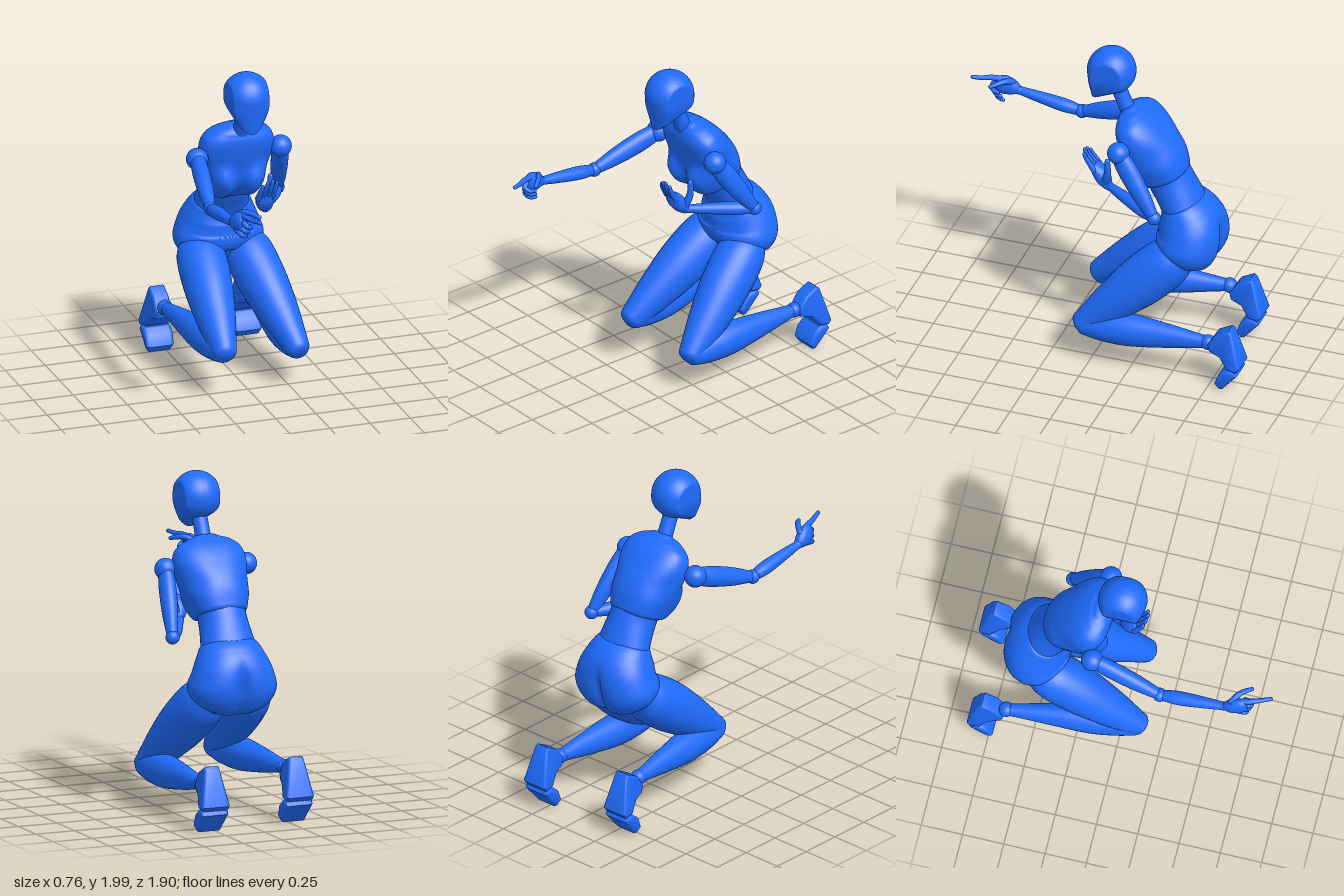
import * as THREE from 'three';
import { toCreasedNormals } from 'three/addons/utils/BufferGeometryUtils.js';

const mat = new THREE.MeshStandardMaterial({ color: 0x1f6cff });
const V = (a) => new THREE.Vector3(a[0], a[1], a[2]);
const mix = (a, b, t) => a.map((v, i) => v + (b[i] - v) * t);
const smooth = THREE.MathUtils.smoothstep;

function add(group, name, geo) {
  const m = new THREE.Mesh(geo, mat);
  m.name = name;
  group.add(m);
  return m;
}

// Smooth skin through oval sections [x, y, z, halfWidth, halfDepth], with rounded ends.
// A power below 1 makes the ovals squarer.
function loft(sections, { round = 0.6, steps = 6, sides = 32, power = 1 } = {}) {
  const curve = (pts) => new THREE.CatmullRomCurve3(pts, false, 'catmullrom', 0.5);
  const path = curve(sections.map(V));
  const size = curve(sections.map((s) => new THREE.Vector3(s[3], s[4], 0)));
  const n = (sections.length - 1) * steps;
  const rings = [];
  const ring = (t, angle, dir) => {
    const s = size.getPoint(t), T = path.getTangent(t), c = path.getPoint(t);
    c.addScaledVector(T, dir * Math.sin(angle) * Math.min(s.x, s.y) * round);
    rings.push({ c, T, w: s.x * Math.cos(angle), d: s.y * Math.cos(angle) });
  };
  for (let k = 5; k > 0; k--) ring(0, k * Math.PI / 10, -1);
  for (let i = 0; i <= n; i++) ring(i / n, 0, 0);
  for (let k = 1; k <= 5; k++) ring(1, k * Math.PI / 10, 1);
  const bend = (v) => Math.sign(v) * Math.abs(v) ** power;
  const pos = [], idx = [];
  rings.forEach(({ c, T, w, d }, i) => {
    const S = Math.abs(T.x) > 0.9 ? new THREE.Vector3(0, 0, 1) : new THREE.Vector3(1, 0, 0);
    S.addScaledVector(T, -S.dot(T)).normalize();
    const D = S.clone().cross(T);
    for (let j = 0; j < sides; j++) {
      const a = j / sides * Math.PI * 2;
      const p = c.clone().addScaledVector(S, bend(Math.cos(a)) * w).addScaledVector(D, bend(Math.sin(a)) * d);
      pos.push(p.x, p.y, p.z);
      if (i === rings.length - 1) continue;
      const q = i * sides + j, r = i * sides + (j + 1) % sides;
      idx.push(q, q + sides, r, r, q + sides, r + sides);
    }
  });
  const g = new THREE.BufferGeometry();
  g.setAttribute('position', new THREE.Float32BufferAttribute(pos, 3));
  g.setIndex(idx);
  g.computeVertexNormals();
  return g;
}

// Straight limb with a list of [t, halfWidth, halfDepth]
const limb = (a, b, profile) => loft(profile.map(([t, w, d]) => [...mix(a, b, t), w, d]));

// Moves every vertex by a rule
function sculpt(g, rule) {
  const p = g.attributes.position, v = new THREE.Vector3();
  for (let i = 0; i < p.count; i++) {
    rule(v.fromBufferAttribute(p, i));
    p.setXYZ(i, v.x, v.y, v.z);
  }
  g.computeVertexNormals();
  return g;
}

function ball(group, name, p, r) {
  add(group, name, new THREE.SphereGeometry(r, 32, 24)).position.set(...p);
}

// Skull with flat temples, a straight face and a narrowing jaw
function headGeometry() {
  const chin = [0.115, -0.215], brow = [0.146, 0], nape = [-0.09, -0.115];
  const hit = (u, v, a, b) => {
    const ex = b[0] - a[0], ey = b[1] - a[1];
    return (a[0] * ey - a[1] * ex) / (u * ey - v * ex);
  };
  const chinAngle = Math.atan2(chin[1], chin[0]), napeAngle = Math.atan2(nape[1], nape[0]);
  const g = sculpt(new THREE.SphereGeometry(1, 72, 48).rotateZ(Math.PI / 2), (p) => {
    const f = Math.atan2(p.y, p.z), u = Math.cos(f), v = Math.sin(f);
    let R = 0.146;
    if (f < 0 && f > chinAngle) R = hit(u, v, brow, chin);
    else if (f <= chinAngle && f > napeAngle) R = hit(u, v, chin, nape);
    const r = Math.max(0, 1 - p.x * p.x) ** (0.5 - 0.18 * smooth(-v, 0, 0.7)) * R;
    const taper = 1 - 0.5 * smooth(-v * r, 0.02, 0.24);
    p.set(THREE.MathUtils.clamp(p.x * 0.146, -0.112, 0.112) * taper, v * r, u * r);
  });
  return toCreasedNormals(g, 0.6);
}

// Side outline [z, y] extruded across x, half width given by height and depth
function slab(outline, halfWidth) {
  const bevel = 0.018;
  const g = new THREE.ExtrudeGeometry(new THREE.Shape(outline.map((q) => new THREE.Vector2(...q))), {
    depth: 2, bevelEnabled: true, bevelSize: bevel, bevelOffset: -bevel, bevelThickness: 0.3, bevelSegments: 6,
  });
  g.translate(0, 0, -1).rotateY(-Math.PI / 2);
  return toCreasedNormals(sculpt(g, (p) => { p.x *= halfWidth(p.y, p.z) / 1.3; }), 0.7);
}

function leg(name, hip, knee, ankle, footX, footZ) {
  const g = new THREE.Group();
  g.name = name;
  add(g, 'thigh', limb(hip, knee, [[0, 0.12, 0.105], [0.14, 0.147, 0.148], [0.4, 0.143, 0.153],
    [0.66, 0.12, 0.127], [0.88, 0.09, 0.095], [1, 0.072, 0.075]]));
  const kneeBack = [knee[0], knee[1] + 0.005, knee[2] - 0.01];
  add(g, 'shin', limb(kneeBack, ankle, [[0, 0.072, 0.07], [0.14, 0.085, 0.092], [0.36, 0.088, 0.101],
    [0.65, 0.064, 0.078], [0.9, 0.042, 0.048], [1, 0.036, 0.036]]));
  ball(g, 'ankle', ankle, 0.046);
  const foot = new THREE.Group();
  foot.name = 'foot';
  add(foot, 'sole', slab([[-0.74, 0.285], [-0.79, 0.36], [-0.87, 0.402], [-0.89, 0.385], [-0.95, 0.17], [-0.93, 0.145],
    [-0.87, 0.155], [-0.82, 0.22], [-0.75, 0.24]],
  (y, z) => Math.min(THREE.MathUtils.lerp(0.09, 0.05, smooth(y, 0.16, 0.38)), 0.05 + 0.04 * smooth(-z, 0.76, 0.9))));
  add(foot, 'toes', slab([[-0.865, 0.148], [-0.92, 0.148], [-0.935, 0.12], [-0.84, 0.008], [-0.82, 0.008], [-0.795, 0.045],
    [-0.82, 0.11]], (y) => 0.076 + 0.012 * smooth(y, 0.01, 0.06)));
  foot.position.set(footX, 0, footZ);
  g.add(foot);
  return g;
}

function arm(name, shoulder, elbow, wrist) {
  const g = new THREE.Group();
  g.name = name;
  ball(g, 'shoulder', shoulder, 0.066);
  add(g, 'upperArm', limb(shoulder, elbow, [[0.05, 0.045, 0.055], [0.3, 0.05, 0.063], [0.65, 0.046, 0.055], [0.95, 0.034, 0.036]]));
  ball(g, 'elbow', elbow, 0.042);
  add(g, 'forearm', limb(elbow, wrist, [[0.06, 0.033, 0.033], [0.3, 0.042, 0.04], [0.7, 0.034, 0.033], [1, 0.024, 0.024]]));
  ball(g, 'wrist', wrist, 0.027);
  return g;
}

// Finger through a few points, tapering to the tip
const finger = (pts, r) =>
  loft(pts.map((p, i) => [...p, r * (1 - 0.13 * i), r * (1 - 0.13 * i)]), { round: 1, steps: 4, sides: 12 });

export function createModel() {
  const model = new THREE.Group();
  model.name = 'kneelingFigure';

  // Head and neck
  add(model, 'head', headGeometry()).position.set(0, 1.854, -0.025);
  add(model, 'neck', limb([0, 1.56, -0.145], [0, 1.77, -0.055], [[0, 0.05, 0.05], [0.5, 0.046, 0.046], [1, 0.046, 0.046]]));

  // Chest, broad at the front of the shoulders, with the bust swelling smoothly out of it
  const chest = loft([[0, 1.215, -0.365, 0.16, 0.147], [0, 1.33, -0.31, 0.197, 0.163], [0, 1.46, -0.235, 0.23, 0.14],
    [0, 1.55, -0.18, 0.208, 0.108], [0, 1.6, -0.155, 0.145, 0.075], [0, 1.625, -0.145, 0.075, 0.045]],
  { round: 0.3, steps: 10, sides: 80, power: 0.84 });
  add(model, 'chest', sculpt(chest, (p) => {
    const dx = (Math.abs(p.x) - 0.108) / 0.085, dy = (p.y - 1.25) / 0.11;
    const swell = Math.exp(-((dx * dx + dy * dy) ** 1.7)) * smooth(p.z, -0.34, -0.24);
    p.x *= 1 + 0.7 * (p.z + 0.2) * smooth(p.y, 1.3, 1.45);
    p.z += 0.066 * swell;
    p.y -= 0.02 * swell;
  }));

  add(model, 'waist', loft([[0, 1.26, -0.355, 0.15, 0.13], [0, 1.17, -0.4, 0.147, 0.133], [0, 1.09, -0.445, 0.158, 0.13],
    [0, 1.0, -0.49, 0.175, 0.13]], { round: 0.2 }));

  // Pelvis, with a cleft pressed into the back
  const pelvis = loft([[0, 1.035, -0.475, 0.178, 0.128], [0, 0.97, -0.502, 0.21, 0.172], [0, 0.88, -0.53, 0.25, 0.2],
    [0, 0.8, -0.533, 0.272, 0.204], [0, 0.73, -0.527, 0.245, 0.18], [0, 0.68, -0.515, 0.17, 0.135]],
  { round: 0.2, steps: 10, sides: 96, power: 0.93 });
  add(model, 'pelvis', sculpt(pelvis, (p) => {
    p.z += 0.065 * Math.exp(-Math.abs(p.x) / 0.045) * smooth(-p.z, 0.54, 0.68) * (1 - smooth(p.y, 0.78, 1.02));
  }));

  // Legs
  model.add(leg('leftLeg', [0.13, 0.765, -0.51], [0.295, 0.245, 0.05], [0.285, 0.275, -0.73], 0.285, 0));
  model.add(leg('rightLeg', [-0.138, 0.765, -0.5], [-0.185, 0.305, 0.115], [-0.285, 0.315, -0.66], -0.29, 0.07));

  // Left arm folded across the body, open hand
  const left = arm('leftArm', [0.26, 1.455, -0.16], [0.325, 1.095, -0.405], [0.125, 1.12, -0.06]);
  add(left, 'palm', loft([[0.125, 1.12, -0.05, 0.026, 0.028], [0.113, 1.155, -0.02, 0.048, 0.044], [0.1, 1.2, 0.015, 0.056, 0.044],
    [0.095, 1.235, 0.04, 0.05, 0.025]]));
  for (let i = 0; i < 4; i++) {
    const x = 0.052 + i * 0.029, len = [0.8, 1, 1.08, 0.95][i];
    add(left, 'finger', finger([[x, 1.22, 0.035], [x + 0.004, 1.22 + 0.05 * len, 0.035 + 0.03 * len],
      [x + 0.008, 1.22 + 0.085 * len, 0.035 + 0.05 * len], [x + 0.012, 1.22 + 0.115 * len, 0.035 + 0.06 * len]], 0.018));
  }
  add(left, 'thumb', finger([[0.13, 1.15, -0.03], [0.152, 1.205, -0.05], [0.16, 1.26, -0.057], [0.16, 1.315, -0.055]], 0.026));
  model.add(left);

  // Right arm reaching forward, index finger pointing
  const right = arm('rightArm', [-0.265, 1.445, -0.145], [-0.33, 1.3, 0.28], [-0.33, 1.36, 0.67]);
  add(right, 'palm', loft([[-0.33, 1.36, 0.67, 0.024, 0.024], [-0.325, 1.375, 0.71, 0.038, 0.05], [-0.315, 1.39, 0.76, 0.038, 0.063],
    [-0.308, 1.395, 0.79, 0.03, 0.055]]));
  add(right, 'indexFinger', finger([[-0.305, 1.432, 0.77], [-0.29, 1.438, 0.83], [-0.27, 1.437, 0.88], [-0.25, 1.443, 0.935]], 0.019));
  for (let i = 0; i < 3; i++) {
    const y = 1.405 - i * 0.03, x = -0.308 - i * 0.012, z = 0.785 - i * 0.012;
    add(right, 'curledFinger', finger([[x, y, z], [x + 0.01, y - 0.015, z + 0.04], [x + 0.04, y - 0.035, z + 0.03],
      [x + 0.05, y - 0.042, z - 0.005]], 0.019));
  }
  add(right, 'thumb', finger([[-0.315, 1.42, 0.71], [-0.27, 1.44, 0.74], [-0.235, 1.435, 0.775], [-0.21, 1.425, 0.81]], 0.02));
  model.add(right);

  return model;
}
